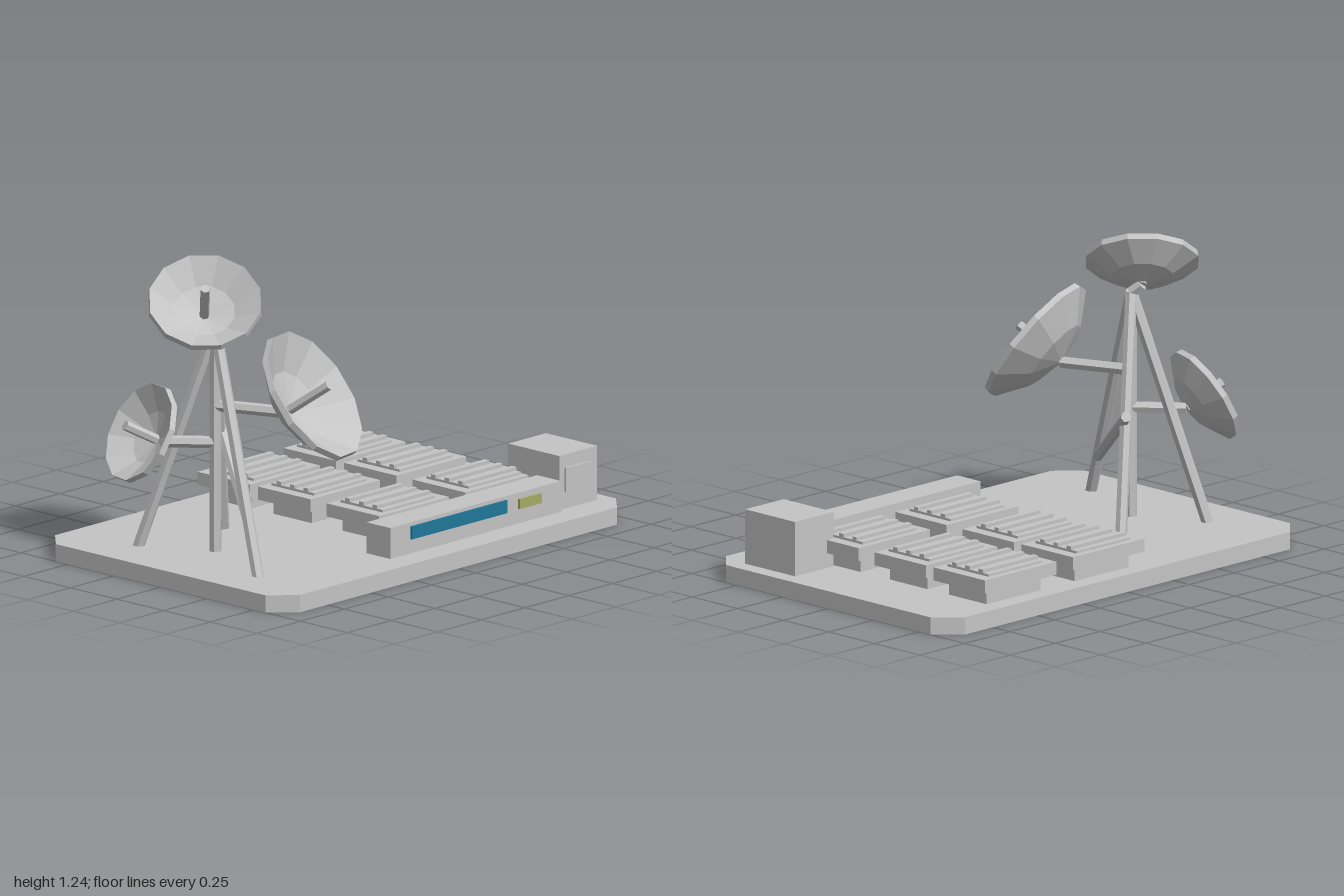
import * as THREE from 'three';

export function createModel() {
  const model = new THREE.Group();
  model.name = 'antennaStation';
  const mat = (name, color) => {
    const m = new THREE.MeshStandardMaterial({ color });
    m.name = name;
    m.flatShading = true;
    return m;
  };
  const grey = mat('lightGrey', 0xc4c4c4);
  const blue = mat('displayBlue', 0x20789a);
  const olive = mat('indicatorOlive', 0xa3ac66);

  const add = (name, geo, material = grey, parent = model) => {
    const mesh = new THREE.Mesh(geo, material);
    mesh.name = name;
    parent.add(mesh);
    return mesh;
  };
  // Box given by its minimum and maximum on each axis
  const box = (name, x0, x1, y0, y1, z0, z1, material, parent) => {
    const mesh = add(name, new THREE.BoxGeometry(x1 - x0, y1 - y0, z1 - z0), material, parent);
    mesh.position.set((x0 + x1) / 2, (y0 + y1) / 2, (z0 + z1) / 2);
    return mesh;
  };
  const v = (x, y, z) => new THREE.Vector3(x, y, z);
  const UP = v(0, 1, 0);
  // Six-sided rod between two points
  const rod = (name, a, b, r = 0.024, parent = model) => {
    const mesh = add(name, new THREE.CylinderGeometry(r, r, a.distanceTo(b), 6), grey, parent);
    mesh.position.copy(a).add(b).multiplyScalar(0.5);
    mesh.quaternion.setFromUnitVectors(UP, b.clone().sub(a).normalize());
    return mesh;
  };

  // Base slab with cut corners
  const W = 1, D = 0.657, C = 0.095, TOP = 0.07;
  const outline = new THREE.Shape([
    [-W + C, -D], [W - C, -D], [W, -D + C], [W, D - C],
    [W - C, D], [-W + C, D], [-W, D - C], [-W, -D + C],
  ].map(([x, y]) => new THREE.Vector2(x, y)));
  const slab = new THREE.ExtrudeGeometry(outline, { depth: TOP, bevelEnabled: false });
  slab.rotateX(-Math.PI / 2);
  add('baseSlab', slab);

  // Six equipment units: pedestal, wide slab, cover plate and three bars
  for (const x of [0.065, 0.555]) {
    for (const z of [0.217, -0.152, -0.476]) {
      const unit = new THREE.Group();
      unit.name = 'equipmentUnit';
      unit.position.set(x, 0, z);
      model.add(unit);
      box('unitPedestal', -0.15, 0.15, TOP, 0.13, -0.103, 0.103, grey, unit);
      box('unitSlab', -0.199, 0.199, 0.13, 0.183, -0.141, 0.141, grey, unit);
      box('unitCover', -0.15, 0.15, 0.183, 0.193, -0.113, 0.113, grey, unit);
      for (const dz of [-0.073, 0, 0.073])
        box('unitBar', -0.153, 0.153, 0.193, 0.207, dz - 0.012, dz + 0.012, grey, unit);
    }
  }

  // Front console with display and indicator
  box('console', -0.267, 0.706, TOP, 0.195, 0.415, 0.543);
  box('consoleDisplay', -0.152, 0.393, 0.128, 0.18, 0.543, 0.552, blue);
  box('consoleIndicator', 0.462, 0.59, 0.13, 0.17, 0.543, 0.552, olive);

  // Corner cabinet with raised hatch
  box('cabinet', 0.717, 0.932, TOP, 0.29, 0.25, 0.524);
  box('cabinetHatch', 0.747, 0.887, 0.14, 0.238, 0.524, 0.533);

  // Mast: centre post, three splayed legs and a brace
  const apex = v(-0.645, 0.975, -0.04);
  rod('mastPost', v(-0.645, TOP - 0.01, -0.04), apex);
  for (const foot of [v(-0.81, 0.06, 0.345), v(-0.37, 0.06, -0.255), v(-0.79, 0.06, -0.32)])
    rod('mastLeg', foot, apex);
  rod('mastBrace', v(-0.775, 0.225, 0.275), v(-0.455, 0.535, -0.2), 0.022);

  // Dishes: shallow faceted bowl, feed rod and the arm that carries it
  const dish = (name, tip, axis, R, feed, armStart) => {
    const d = 0.535 * R;
    const lip = 0.025;
    const profile = [
      [0, 0], [0.55 * R, 0.27 * d], [R, d - lip], [R * 0.985, d],
      [0.53 * R, 0.27 * d + 0.018], [0, 0.015],
    ].map(([x, y]) => new THREE.Vector2(x, y));
    const g = new THREE.Group();
    g.name = name;
    g.position.copy(tip);
    g.quaternion.setFromUnitVectors(UP, axis.normalize());
    model.add(g);
    add('dishBowl', new THREE.LatheGeometry(profile, 12), grey, g);
    rod('dishFeed', v(0, 0, 0), v(0, feed, 0), 0.02, g);
    rod('dishArm', armStart, tip, 0.024);
  };
  dish('topDish', v(-0.668, 1.008, -0.078), v(-0.45, 0.775, 0.45), 0.227, 0.2, apex);
  dish('frontDish', v(-0.535, 0.66, 0.235), v(0.27, 0.575, 0.775), 0.283, 0.225, v(-0.645, 0.66, -0.04));
  dish('sideDish', v(-0.783, 0.51, -0.206), v(-0.84, 0.47, -0.26), 0.206, 0.18, v(-0.645, 0.51, -0.04));

  return model;
}
